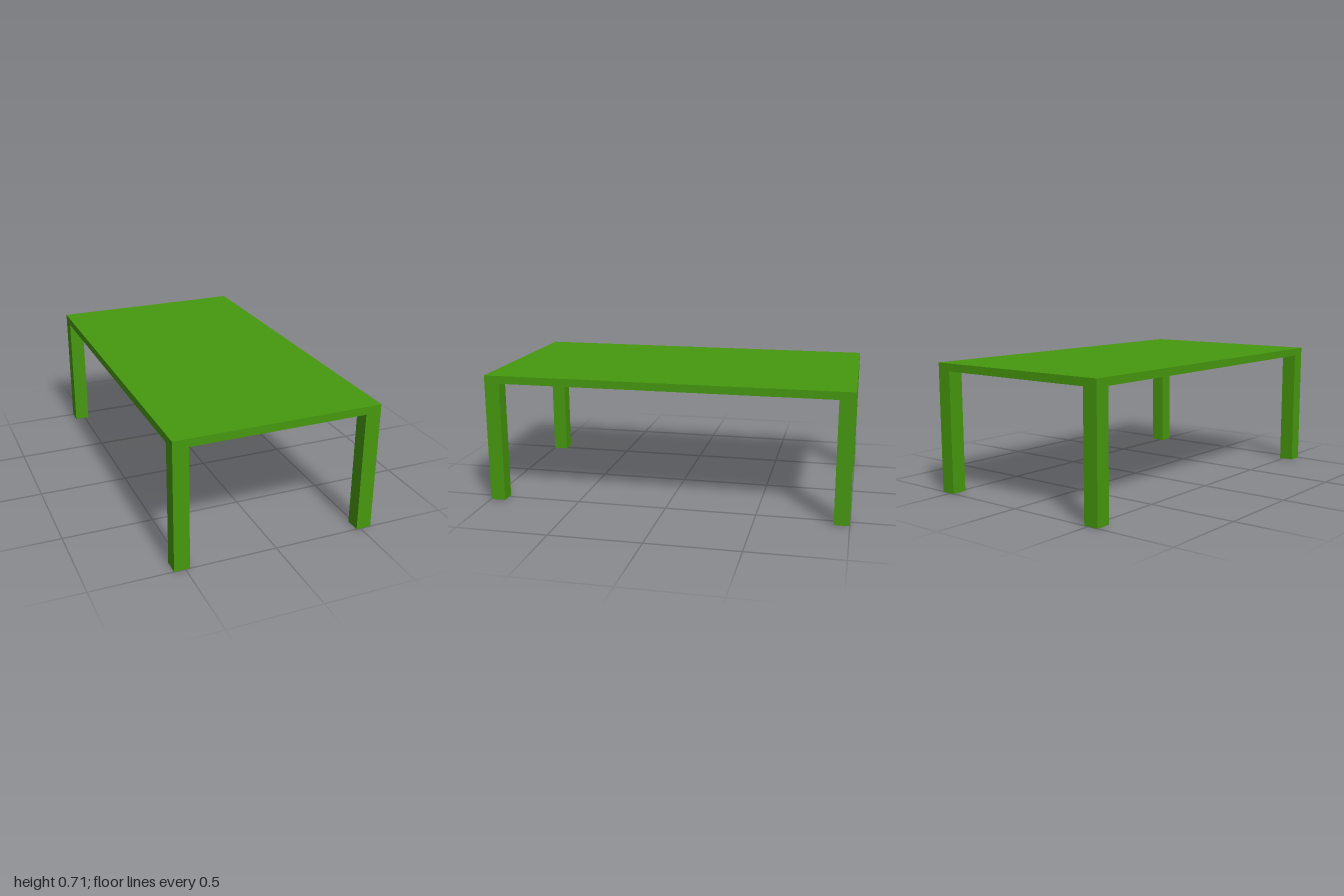
import * as THREE from 'three';

const WIDTH = 1.12, LENGTH = 2, HEIGHT = 0.715;
const TOP = 0.043, LEG = 0.084;

export function createModel() {
  const table = new THREE.Group();
  table.name = 'table';
  const green = new THREE.MeshStandardMaterial({ color: 0x46980e });

  const addBox = (name, w, h, d, x, y, z) => {
    const mesh = new THREE.Mesh(new THREE.BoxGeometry(w, h, d), green);
    mesh.name = name;
    mesh.position.set(x, y, z);
    table.add(mesh);
  };

  // Flat slab top
  addBox('tableTop', WIDTH, TOP, LENGTH, 0, HEIGHT - TOP / 2, 0);

  // Four square legs, flush with the corners
  const legHeight = HEIGHT - TOP;
  for (const [side, sx] of [['Left', 1], ['Right', -1]]) {
    for (const [end, sz] of [['front', 1], ['back', -1]]) {
      addBox(`${end}${side}Leg`, LEG, legHeight, LEG,
        sx * (WIDTH - LEG) / 2, legHeight / 2, sz * (LENGTH - LEG) / 2);
    }
  }
  return table;
}
